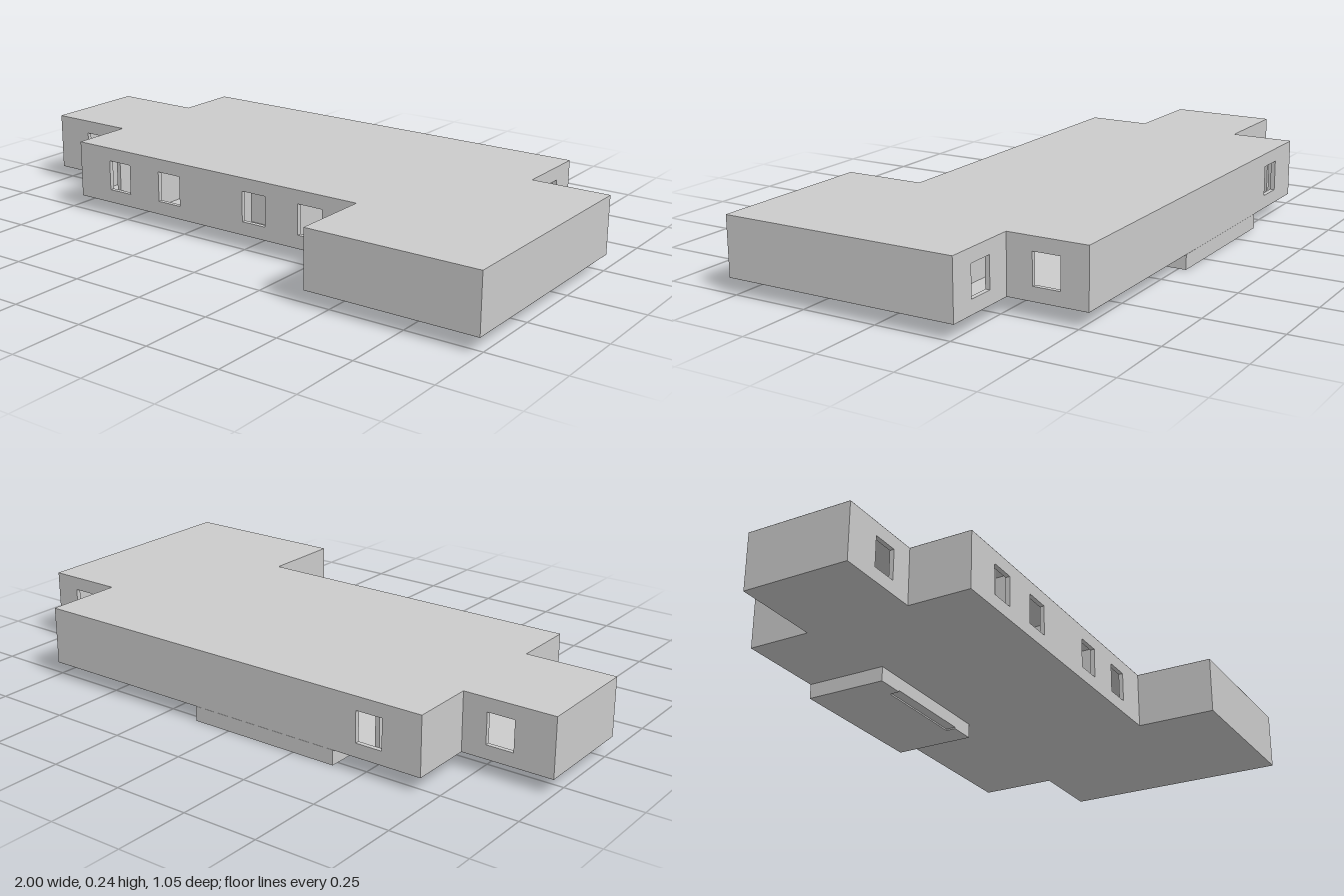
import * as THREE from 'three';

const BASE = 0.049, TOP = 0.24, T = 0.015;
const WIN = { w: 0.09, bottom: 0.094, top: 0.195 };

// Footprint corners [x, z], each followed by the window centres measured along the wall to the next corner
const CORNERS = [
  [-0.70, 0.254, [0.177, 0.392, 0.74, 0.956]],
  [0.426, 0.254, []],
  [0.426, 0.522, []],
  [1.0, 0.522, []],
  [1.0, -0.262, [0.132]],
  [0.738, -0.262, [0.129]],
  [0.738, -0.525, [1.261]],
  [-0.70, -0.525, []],
  [-0.70, -0.313, [0.125]],
  [-1.0, -0.313, []],
  [-1.0, 0.043, [0.175]],
  [-0.70, 0.043, []],
];

function rectangle(Type, x0, x1, y0, y1) {
  return new Type([[x0, y0], [x1, y0], [x1, y1], [x0, y1]].map(p => new THREE.Vector2(...p)));
}

export function createModel() {
  const group = new THREE.Group();
  const grey = new THREE.MeshStandardMaterial({ color: 0xcccccc, flatShading: true });
  const sheet = new THREE.MeshStandardMaterial({ color: 0xcccccc, flatShading: true, side: THREE.DoubleSide });

  function add(name, geometry, material = grey, parent = group) {
    const mesh = new THREE.Mesh(geometry, material);
    mesh.name = name;
    parent.add(mesh);
    return mesh;
  }

  function box(name, x0, x1, y0, y1, z0, z1, parent = group) {
    const mesh = add(name, new THREE.BoxGeometry(x1 - x0, y1 - y0, z1 - z0), grey, parent);
    mesh.position.set((x0 + x1) / 2, (y0 + y1) / 2, (z0 + z1) / 2);
  }

  // Flat roof and floor follow the footprint
  const footprint = new THREE.Shape(CORNERS.map(([x, z]) => new THREE.Vector2(x, -z)));
  for (const [name, y] of [['roof', TOP], ['floor', BASE]]) {
    const mesh = add(name, new THREE.ShapeGeometry(footprint), sheet);
    mesh.rotation.x = -Math.PI / 2;
    mesh.position.y = y;
  }

  // Outer walls with square window openings, thickness turned inwards
  const walls = new THREE.Group();
  walls.name = 'outerWalls';
  group.add(walls);
  CORNERS.forEach(([x, z, windows], i) => {
    const [nx, nz] = CORNERS[(i + 1) % CORNERS.length];
    const shape = rectangle(THREE.Shape, 0, Math.hypot(nx - x, nz - z), BASE + 0.0004, TOP - 0.0004);
    for (const c of windows) {
      shape.holes.push(rectangle(THREE.Path, c - WIN.w / 2, c + WIN.w / 2, WIN.bottom, WIN.top));
    }
    const geometry = new THREE.ExtrudeGeometry(shape, { depth: T, bevelEnabled: false });
    geometry.translate(0, 0, -T);
    const wall = add('outerWall', geometry, grey, walls);
    wall.position.set(x, 0, z);
    wall.rotation.y = Math.atan2(z - nz, nx - x);
  });

  // Room partitions [x0, x1, z0, z1]
  const rooms = new THREE.Group();
  rooms.name = 'partitions';
  group.add(rooms);
  for (const [x0, x1, z0, z1] of [
    [-0.55, -0.535, -0.51, 0.239],
    [-0.42, -0.405, -0.10, 0.239],
    [-0.49, 0.723, -0.115, -0.10],
    [-0.06, 0.16, 0.12, 0.135],
    [-0.075, -0.06, -0.10, 0.239],
    [0.16, 0.175, -0.10, 0.239],
  ]) box('partition', x0, x1, BASE + 0.001, TOP - 0.001, z0, z1, rooms);

  // Cellar block under the rear, with a shallow notch along its front edge
  const cellar = new THREE.Group();
  cellar.name = 'cellar';
  group.add(cellar);
  box('cellarBody', -0.397, 0.13, 0, BASE, -0.525, -0.282, cellar);
  const lip = new THREE.Shape([
    [-0.397, 0], [-0.30, 0], [-0.30, 0.005], [0.04, 0.005],
    [0.04, 0], [0.13, 0], [0.13, BASE], [-0.397, BASE],
  ].map(p => new THREE.Vector2(...p)));
  const front = add('cellarFront', new THREE.ExtrudeGeometry(lip, { depth: 0.034, bevelEnabled: false }), grey, cellar);
  front.position.z = -0.282;

  return group;
}
